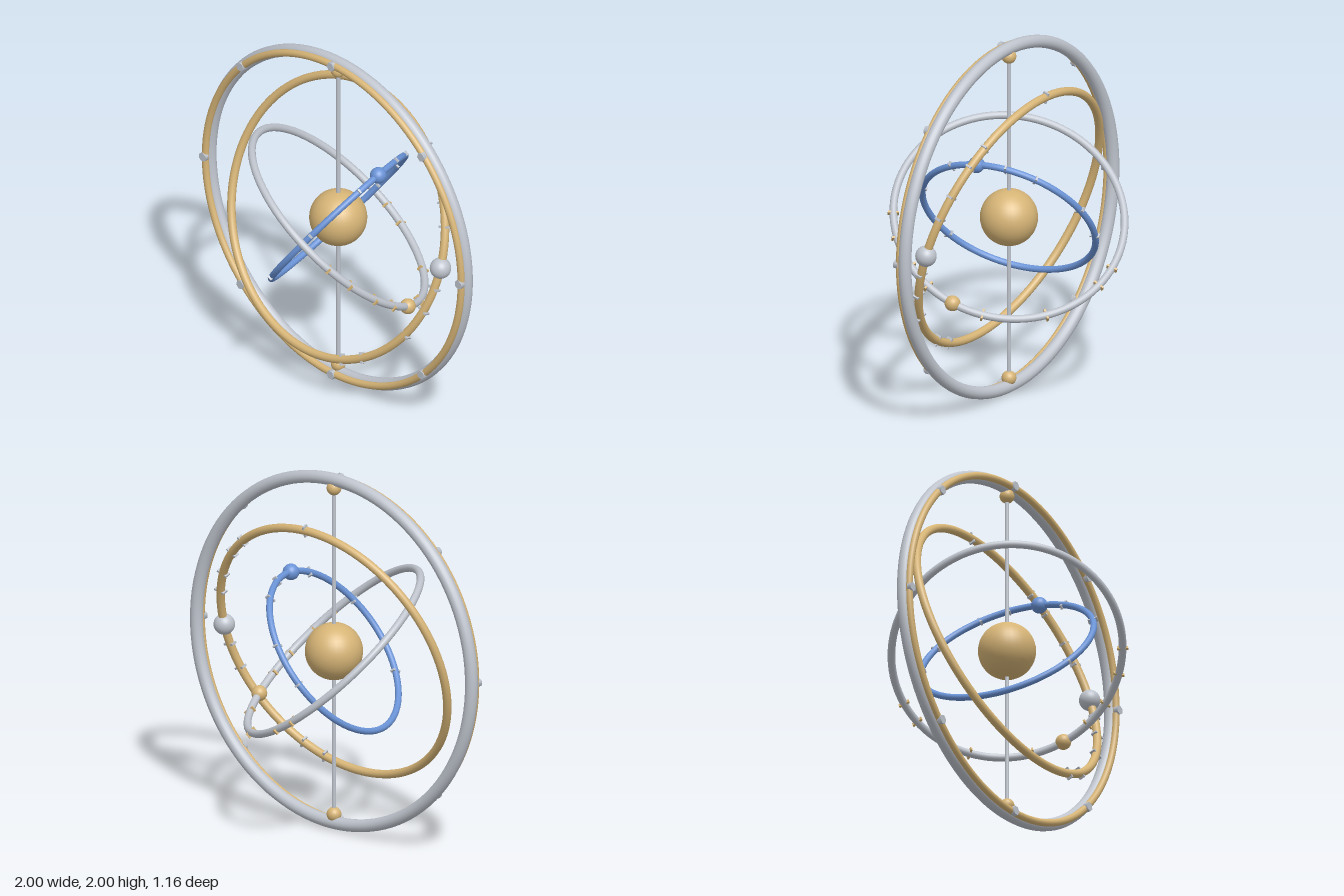
import * as THREE from 'three';

export function createModel() {
  const model = new THREE.Group();
  const mat = (name, color) => {
    const m = new THREE.MeshStandardMaterial({ color });
    m.name = name;
    return m;
  };
  const gold = mat('gold', 0xd6b476);
  const silver = mat('silver', 0xbfc4cd);
  const blue = mat('blue', 0x6a93d6);

  const add = (parent, name, geometry, material, x = 0, y = 0, z = 0) => {
    const mesh = new THREE.Mesh(geometry, material);
    mesh.name = name;
    mesh.position.set(x, y, z);
    parent.add(mesh);
    return mesh;
  };
  const ball = (r) => new THREE.SphereGeometry(r, 32, 20);
  const ringGeo = (r, tube) => new THREE.TorusGeometry(r, tube, 16, 120);
  const rad = THREE.MathUtils.degToRad;

  // Everything is arranged around the centre of the sphere
  const core = new THREE.Group();
  core.name = 'armillary';
  core.position.y = 1;
  model.add(core);

  // Outer frame with a gold trim ring on its front
  add(core, 'outerRing', ringGeo(0.965, 0.035), silver);
  add(core, 'trimRing', ringGeo(0.963, 0.02), gold, 0, 0, 0.037);

  // Eight hexagonal studs on the trim
  const studGeo = new THREE.CylinderGeometry(0.027, 0.027, 0.025, 6).rotateX(Math.PI / 2);
  for (let i = 0; i < 8; i++) {
    const a = (i * Math.PI) / 4;
    const stud = add(core, 'stud', studGeo, silver, 0.963 * Math.cos(a), 0.963 * Math.sin(a), 0.05);
    stud.rotation.z = a;
  }

  // Axle, its end knobs and the central globe
  add(core, 'axle', new THREE.CylinderGeometry(0.012, 0.012, 1.88, 16), silver);
  for (const s of [-1, 1]) add(core, 'axleKnob', ball(0.04), gold, 0, s * 0.918, 0);
  add(core, 'globe', ball(0.157), gold);

  // Tilted orbit: ring, marker ball on its local +x, and graduation ticks
  const orbit = (name, r, tube, turn, tilt, ringMat, ballR, ballMat, tickMat, ticks) => {
    const g = new THREE.Group();
    g.name = name;
    g.rotation.set(rad(tilt), 0, rad(turn), 'ZXY');
    core.add(g);
    add(g, name + 'Ring', ringGeo(r, tube), ringMat);
    add(g, name + 'Ball', ball(ballR), ballMat, r, 0, 0);
    const tickGeo = new THREE.BoxGeometry(tube * 2 + 0.018, 0.011, tube * 1.5);
    for (const deg of ticks) {
      const a = rad(deg);
      add(g, name + 'Tick', tickGeo, tickMat, r * Math.cos(a), r * Math.sin(a), 0).rotation.z = a;
    }
  };
  orbit('largeOrbit', 0.77, 0.023, 0, -18, gold, 0.058, silver, silver,
    [90, 51, 41, 27, 17, -9, -20, -34, -60, -71]);
  orbit('middleOrbit', 0.625, 0.021, -33, 62.5, silver, 0.043, gold, gold,
    [-92, -80, -48, -16, 15, 29, 46, 60]);
  orbit('smallOrbit', 0.49, 0.018, 52, -80, blue, 0.045, blue, silver,
    [-114, -60, -19, 20, 40, 77, 105]);

  return model;
}
